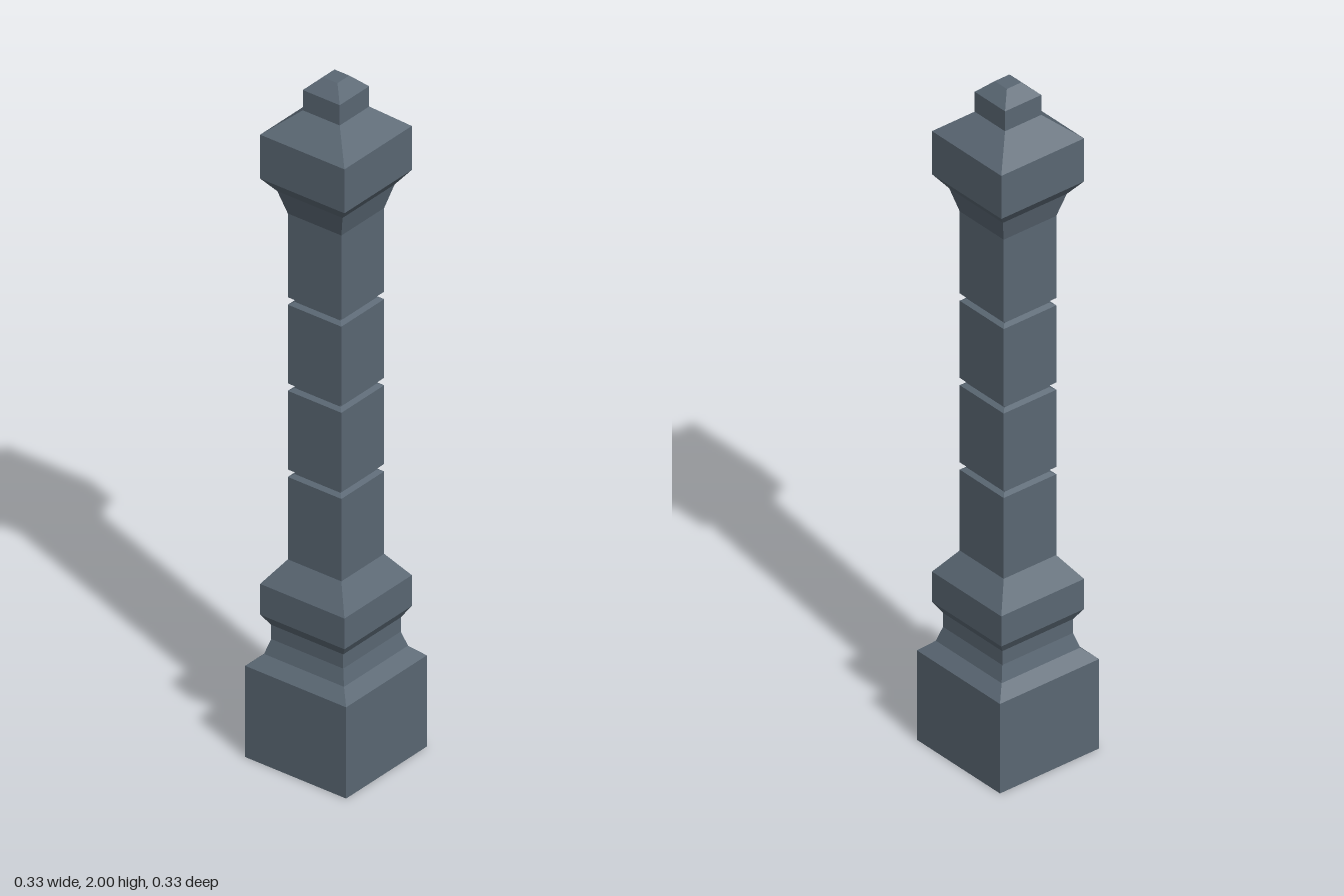
import * as THREE from 'three';

// Square moulding: sweeps a [half width, height] profile around four flat sides
function squareTurned(name, profile, material) {
  const points = profile.map(([half, y]) => new THREE.Vector2(half * Math.SQRT2, y));
  const geometry = new THREE.LatheGeometry(points, 4, Math.PI / 4).toNonIndexed();
  geometry.computeVertexNormals(); // crisp facets
  const mesh = new THREE.Mesh(geometry, material);
  mesh.name = name;
  return mesh;
}

export function createModel() {
  const group = new THREE.Group();
  group.name = 'squarePost';
  const slate = new THREE.MeshStandardMaterial({ color: 0x5a6773, side: THREE.DoubleSide });
  slate.name = 'slate grey';

  // Plinth, open underneath, with a hollow neck and a collar
  group.add(squareTurned('base', [
    [0.164, 0], [0.164, 0.27], [0.13, 0.302], [0.117, 0.345], [0.117, 0.387],
    [0.137, 0.419], [0.137, 0.51], [0.087, 0.578],
  ], slate));

  // Shaft with three narrow grooves
  const shaft = [[0.087, 0.578]];
  for (const y of [0.833, 1.088, 1.343]) {
    shaft.push([0.087, y - 0.011], [0.074, y - 0.004], [0.074, y + 0.004], [0.087, y + 0.011]);
  }
  shaft.push([0.087, 1.602]);
  group.add(squareTurned('shaft', shaft, slate));

  // Flared capital
  group.add(squareTurned('capital', [
    [0.087, 1.602], [0.106, 1.67], [0.137, 1.71], [0.137, 1.84], [0.06, 1.905],
  ], slate));

  // Finial with a flat tip
  group.add(squareTurned('finial', [
    [0.06, 1.905], [0.06, 1.965], [0.024, 2], [0, 2],
  ], slate));

  return group;
}
